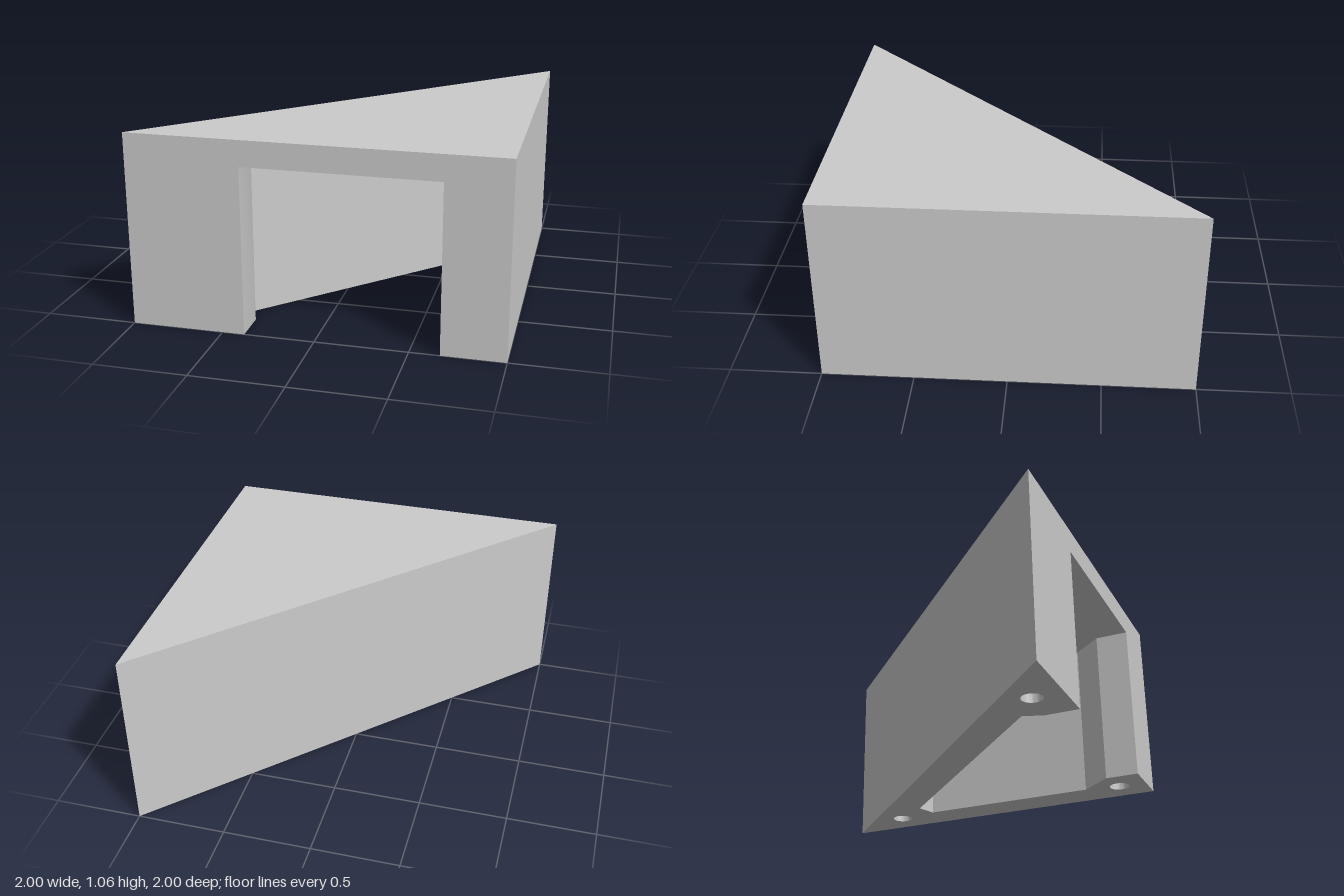
import * as THREE from 'three';
import { toCreasedNormals } from 'three/addons/utils/BufferGeometryUtils.js';

const HEIGHT = 1.06;
const CEILING = 0.92; // top of the hollow

// Plan outlines are [x, z] pairs; the prism spans y = bottom to top.
function prism(name, outline, holes, bottom, top, material) {
  const shape = new THREE.Shape(outline.map(([x, z]) => new THREE.Vector2(x, z)));
  for (const [x, z, r] of holes) {
    shape.holes.push(new THREE.Path().absarc(x, z, r, 0, Math.PI * 2, true));
  }
  const extruded = new THREE.ExtrudeGeometry(shape, {
    depth: top - bottom, bevelEnabled: false, curveSegments: 24,
  });
  extruded.rotateX(Math.PI / 2).translate(0, top, 0);
  const mesh = new THREE.Mesh(toCreasedNormals(extruded, 0.45), material);
  mesh.name = name;
  return mesh;
}

export function createModel() {
  const group = new THREE.Group();
  group.name = 'cornerBlock';
  const material = new THREE.MeshStandardMaterial({ color: 0xcccccc });

  const corners = [[-1, 1], [1, -1], [1, 1]];

  // Inner side of the walls, swelling around the three corner posts
  const hollow = [
    [0.66, 1], [0.66, 0.81], [0.8, 0.64],
    [0.8, -0.38], [0.69, -0.42],
    [-0.42, 0.7], [-0.38, 0.81], [-0.38, 1],
  ];

  // Blind holes in the underside of each post
  const postHoles = [[0.83, 0.84, 0.058], [0.83, -0.61, 0.058], [-0.61, 0.83, 0.058]];

  // Walls and posts, open at the front and underneath
  group.add(prism('walls', [...corners, ...hollow], postHoles, 0, CEILING, material));

  // Solid triangular top
  group.add(prism('top', corners, [], CEILING, HEIGHT, material));

  return group;
}
